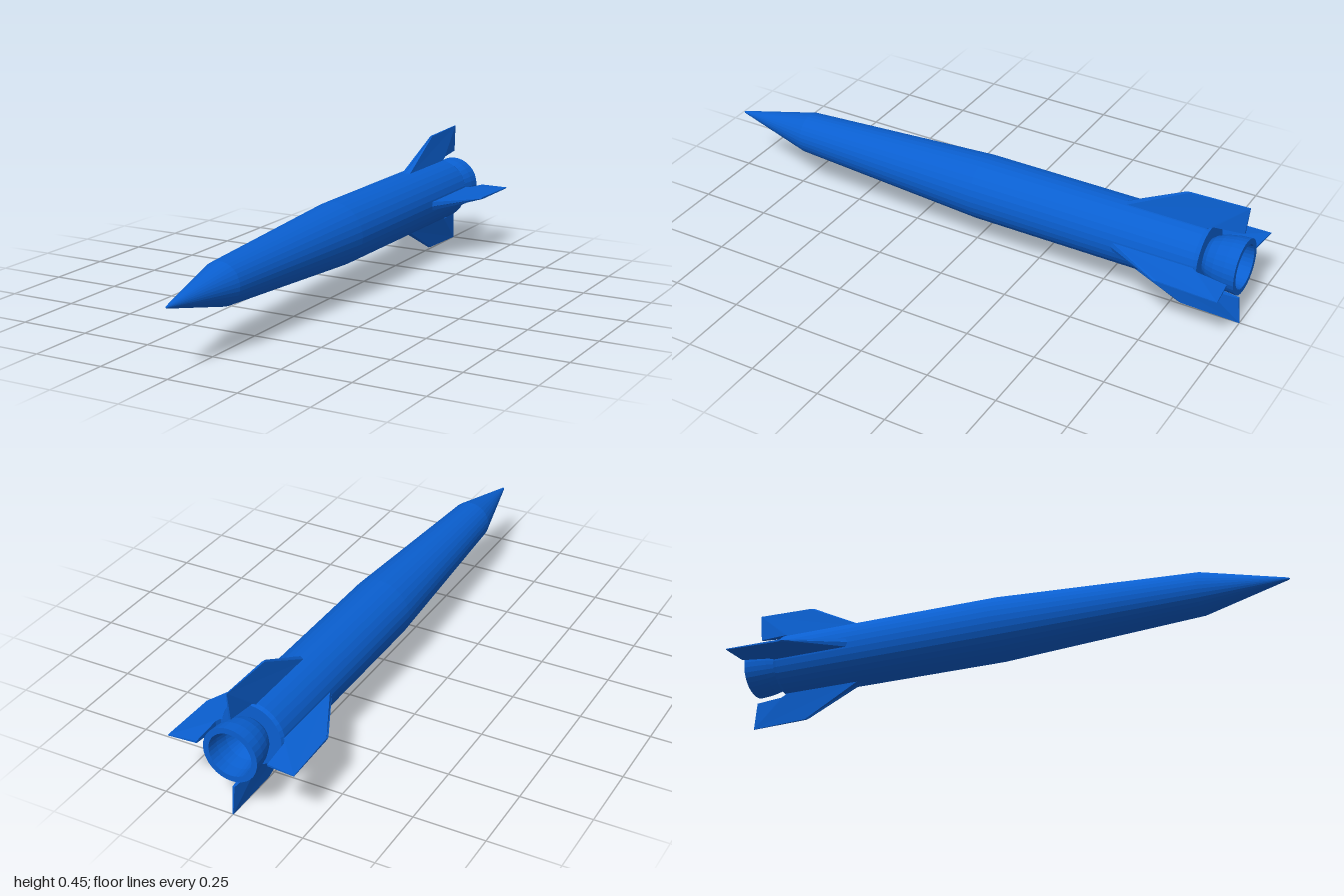
import * as THREE from 'three';

const SIDES = 32;
const CENTRE_Y = 0.227;

export function createModel() {
  const model = new THREE.Group();
  model.name = 'rocket';
  const paint = new THREE.MeshStandardMaterial({ color: 0x0a5fd0, flatShading: true });

  // Everything is built along +y (nose up), then laid down to point at +z
  const rocket = new THREE.Group();
  rocket.name = 'rocketBody';
  rocket.rotation.x = Math.PI / 2;
  rocket.position.y = CENTRE_Y;
  model.add(rocket);

  const lathe = (name, profile) => {
    const points = profile.map(([r, a]) => new THREE.Vector2(r, a));
    const mesh = new THREE.Mesh(new THREE.LatheGeometry(points, SIDES), paint);
    mesh.name = name;
    rocket.add(mesh);
  };

  // Fuselage with bevelled base, long taper and pointed nose
  lathe('fuselage', [
    [0, -0.875], [0.108, -0.875], [0.114, -0.862], [0.114, -0.03], [0.074, 0.7],
  ]);
  lathe('noseCone', [[0.074, 0.7], [0.004, 0.995], [0, 1]]);

  // Hollow engine bell: inner wall, rim, outer wall
  lathe('engineNozzle', [
    [0, -0.87], [0.045, -0.872], [0.066, -0.92], [0.074, -0.96], [0.077, -1],
    [0.097, -1], [0.094, -0.96], [0.086, -0.92], [0.074, -0.89], [0.06, -0.872],
  ]);

  // Swept fins, thinning toward the tip and the trailing edge
  const outline = [
    [0.1, -0.555], [0.09, -0.86], [0.116, -0.868], [0.124, -0.885],
    [0.127, -0.99], [0.226, -1], [0.219, -0.79],
  ];
  const finShape = new THREE.Shape(outline.map(([r, a]) => new THREE.Vector2(r, a)));
  const finGeometry = new THREE.ExtrudeGeometry(finShape, { depth: 2, steps: 2, bevelEnabled: false });
  const p = finGeometry.attributes.position;
  for (let i = 0; i < p.count; i++) {
    const r = p.getX(i), a = p.getY(i), side = p.getZ(i) - 1;
    const radial = THREE.MathUtils.mapLinear(r, 0.114, 0.226, 0.016, 0.003);
    const trailing = 1 - 0.75 * THREE.MathUtils.smoothstep(-a, 0.87, 1);
    p.setZ(i, side * Math.max(0.0015, radial * trailing));
    // Central ridge along the leading edge
    if (side === 0 && a > -0.8) p.setY(i, a + 0.012);
  }
  finGeometry.computeVertexNormals();
  for (let i = 0; i < 4; i++) {
    const fin = new THREE.Mesh(finGeometry, paint);
    fin.name = 'fin' + (i + 1);
    fin.rotation.y = (i * Math.PI) / 2;
    rocket.add(fin);
  }

  return model;
}
